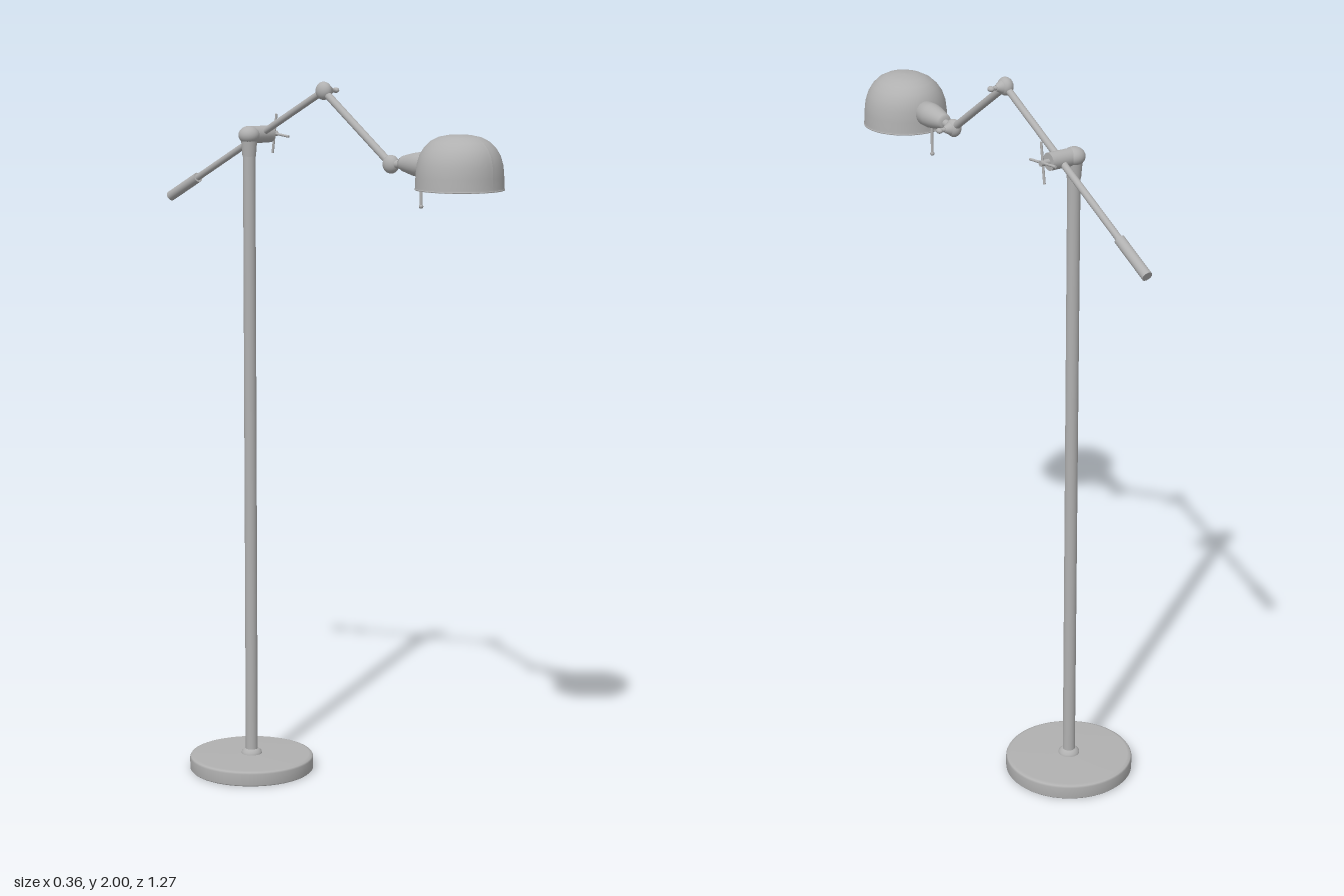
import * as THREE from 'three';

export function createModel() {
  const model = new THREE.Group();
  const metal = new THREE.MeshStandardMaterial({ color: 0xb0b0b0 });
  metal.name = 'grey metal';
  const shell = new THREE.MeshStandardMaterial({ color: 0xb0b0b0, side: THREE.DoubleSide });
  shell.name = 'grey shade';
  const V = (x, y, z) => new THREE.Vector3(x, y, z);
  const UP = V(0, 1, 0);

  const add = (name, geometry, position, parent = model, material = metal) => {
    const mesh = new THREE.Mesh(geometry, material);
    mesh.name = name;
    mesh.position.copy(position);
    parent.add(mesh);
    return mesh;
  };
  // Round rod from a to b, with optional taper
  const rod = (name, a, b, ra, rb = ra, parent = model) => {
    const d = b.clone().sub(a);
    const mesh = add(name, new THREE.CylinderGeometry(rb, ra, d.length(), 24), a.clone().add(b).multiplyScalar(0.5), parent);
    mesh.quaternion.setFromUnitVectors(UP, d.normalize());
    return mesh;
  };
  const lathe = (pts, segments = 48) =>
    new THREE.LatheGeometry(pts.map(([r, y]) => new THREE.Vector2(r, y)), segments);

  const armX = 0.045, poleZ = -0.244;
  const clamp = V(armX, 1.844, poleZ);
  const elbow = V(armX, 1.975, 0.008);
  const wrist = V(armX, 1.79, 0.265);
  const tail = V(armX, 1.645, -0.63);

  // Weighted base, collar and pole
  add('base', lathe([[0, 0], [0.176, 0], [0.18, 0.004], [0.18, 0.036], [0.177, 0.041], [0.168, 0.044], [0, 0.046]], 64), V(0, 0, poleZ));
  add('poleCollar', lathe([[0.03, 0], [0.029, 0.008], [0.022, 0.014], [0.017, 0.016]], 32), V(0, 0.044, poleZ));
  rod('pole', V(0, 0.04, poleZ), V(0, 1.83, poleZ), 0.0175);
  rod('poleTopCollar', V(0, 1.785, poleZ), V(0, 1.835, poleZ), 0.019, 0.023);

  // Clamp that holds the long arm on top of the pole
  const head = new THREE.Group();
  head.name = 'clamp';
  model.add(head);
  add('clampBall', new THREE.SphereGeometry(0.03, 32, 20), V(0, 1.844, poleZ), head).scale.y = 0.85;
  rod('clampBarrel', V(0, 1.844, poleZ), V(0.08, 1.844, poleZ), 0.024, 0.024, head);
  rod('clampScrew', V(0.08, 1.844, poleZ), V(0.106, 1.844, poleZ), 0.008, 0.008, head);
  // Cross handle
  for (const [dy, dz] of [[0.055, 0.008], [-0.006, 0.058]])
    rod('crossHandleBar', V(0.098, 1.844 - dy, poleZ - dz), V(0.098, 1.844 + dy, poleZ + dz), 0.0035, 0.0035, head);

  // Long arm with counterweight grip, and short arm
  const grip = clamp.clone().lerp(tail, 0.69);
  rod('longArm', elbow, tail, 0.0095);
  rod('armGrip', grip, tail, 0.0145);
  rod('shortArm', elbow, wrist, 0.0105);

  // Ball joints with side thumb screws
  for (const [name, p] of [['elbowJoint', elbow], ['wristJoint', wrist]]) {
    const joint = new THREE.Group();
    joint.name = name;
    joint.position.copy(p);
    model.add(joint);
    add('jointBall', new THREE.SphereGeometry(0.025, 28, 18), V(0, 0, 0), joint).scale.x = 0.8;
    rod('jointCone', V(0.01, 0, 0), V(0.03, 0, 0), 0.02, 0.008, joint);
    rod('screwShaft', V(0.028, 0, 0), V(0.045, 0, 0), 0.006, 0.006, joint);
    add('thumbScrew', new THREE.SphereGeometry(0.011, 20, 12), V(0.046, 0, 0), joint).scale.set(0.8, 0.7, 1);
  }

  // Neck and lamp socket running forward into the shade
  rod('neck', wrist, V(armX, 1.793, 0.315), 0.011);
  const socket = add('socket', lathe([[0, 0], [0.017, 0], [0.021, 0.008], [0.03, 0.045], [0.034, 0.07], [0.034, 0.13], [0, 0.13]], 32), V(armX, 1.795, 0.305));
  socket.rotation.x = Math.PI / 2;
  rod('switchStem', V(armX, 1.77, 0.377), V(armX, 1.683, 0.377), 0.004);
  add('switchTip', new THREE.SphereGeometry(0.006, 14, 10), V(armX, 1.685, 0.377));

  // Open dome shade, slightly narrower across x toward the crown
  const dome = lathe([[0.118, 0], [0.1165, 0.008], [0.1165, 0.035], [0.115, 0.065], [0.109, 0.09], [0.098, 0.11],
    [0.082, 0.126], [0.06, 0.137], [0.034, 0.142], [0, 0.1435]], 64);
  const pos = dome.attributes.position;
  for (let i = 0; i < pos.count; i++) {
    const t = pos.getY(i) / 0.1435;
    pos.setX(i, pos.getX(i) * (1 - 0.16 * t * t));
  }
  dome.computeVertexNormals();
  add('shade', dome, V(armX, 1.738, 0.515), model, shell);
  const rim = add('shadeRim', new THREE.TorusGeometry(0.1165, 0.002, 8, 64), V(armX, 1.74, 0.515));
  rim.rotation.x = Math.PI / 2;

  // Bulb
  rod('bulbNeck', V(armX, 1.793, 0.43), V(armX, 1.79, 0.49), 0.02, 0.03);
  add('bulb', new THREE.SphereGeometry(0.043, 32, 20), V(armX, 1.79, 0.51));

  return model;
}
